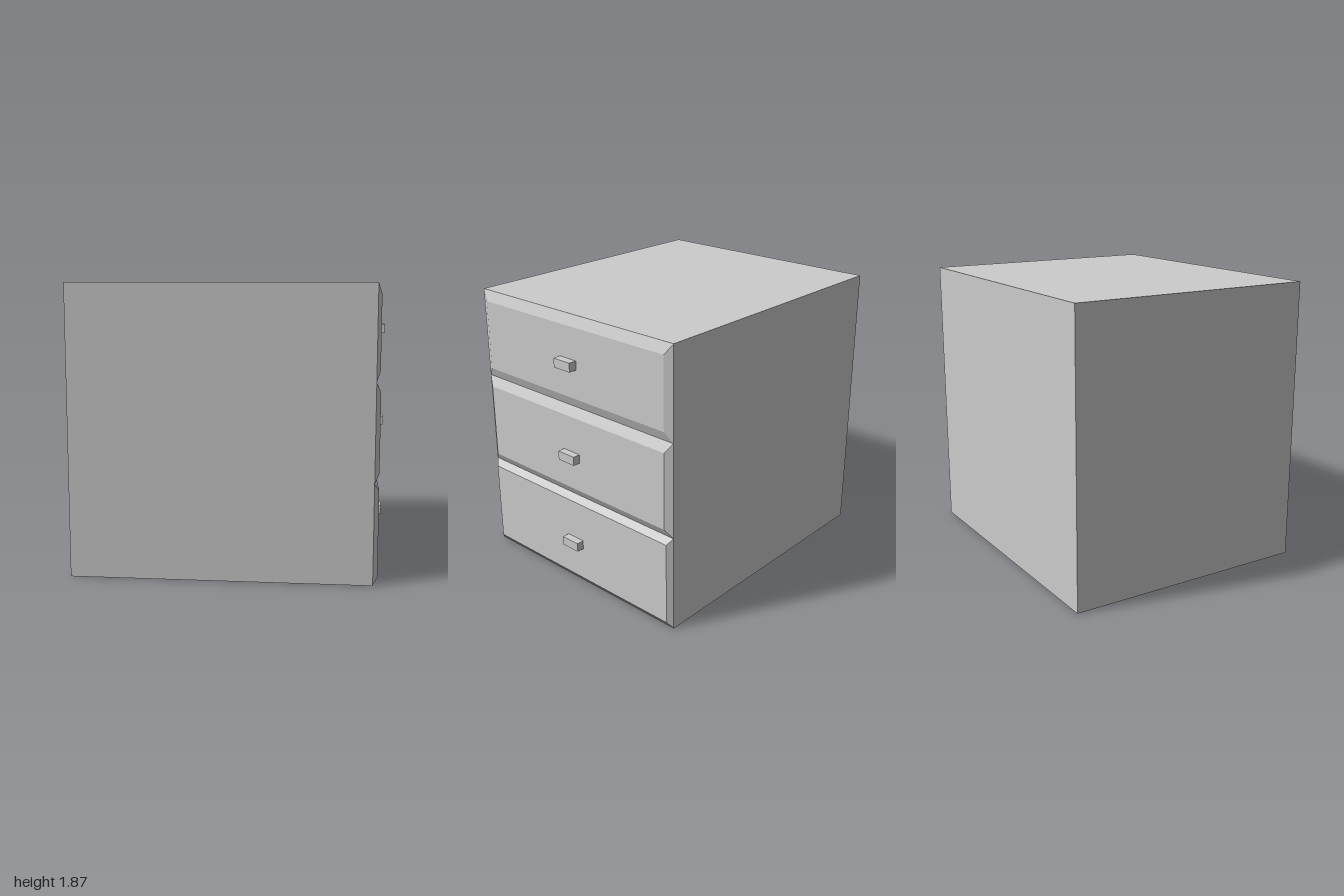
import * as THREE from 'three';

const material = new THREE.MeshStandardMaterial({ color: 0xcccccc, flatShading: true });

// Box given by its minimum and maximum corners
function box(name, [x0, y0, z0], [x1, y1, z1]) {
  const geometry = new THREE.BoxGeometry(x1 - x0, y1 - y0, z1 - z0);
  geometry.translate((x0 + x1) / 2, (y0 + y1) / 2, (z0 + z1) / 2);
  const mesh = new THREE.Mesh(geometry, material);
  mesh.name = name;
  return mesh;
}

const FACE_X = 0.92; // carcass side that carries the drawers
const HALF_Z = 0.83;

// Drawer front: a slab whose outer face is drawn in to form bevelled edges
function drawerFront({ bottom, top, innerBottom, innerTop, innerZ, outX }) {
  const mesh = box('drawerFront', [FACE_X, bottom, -HALF_Z], [outX, top, HALF_Z]);
  const p = mesh.geometry.attributes.position;
  const middle = (bottom + top) / 2;
  for (let i = 0; i < p.count; i++) {
    if (p.getX(i) < (FACE_X + outX) / 2) continue;
    p.setY(i, p.getY(i) > middle ? innerTop : innerBottom);
    p.setZ(i, Math.sign(p.getZ(i)) * innerZ);
  }
  mesh.geometry.computeVertexNormals();
  return mesh;
}

export function createModel() {
  const model = new THREE.Group();
  model.name = 'drawerCabinet';

  // Carcass
  model.add(box('carcass', [-1, 0, -HALF_Z], [FACE_X, 1.87, HALF_Z]));

  // Three drawers, from the bottom up, each with a small block handle
  const drawers = [
    { bottom: 0.005, top: 0.645, innerBottom: 0.045, innerTop: 0.6, innerZ: 0.797, outX: 0.95, handleY: 0.305 },
    { bottom: 0.645, top: 1.27, innerBottom: 0.7, innerTop: 1.205, innerZ: 0.782, outX: 0.95, handleY: 0.933 },
    { bottom: 1.27, top: 1.87, innerBottom: 1.335, innerTop: 1.8, innerZ: 0.777, outX: 0.945, handleY: 1.56 },
  ];
  for (const d of drawers) {
    const drawer = new THREE.Group();
    drawer.name = 'drawer';
    drawer.add(drawerFront(d));
    drawer.add(box('handle', [d.outX, d.handleY - 0.03, -0.06], [1, d.handleY + 0.03, 0.08]));
    model.add(drawer);
  }
  return model;
}
